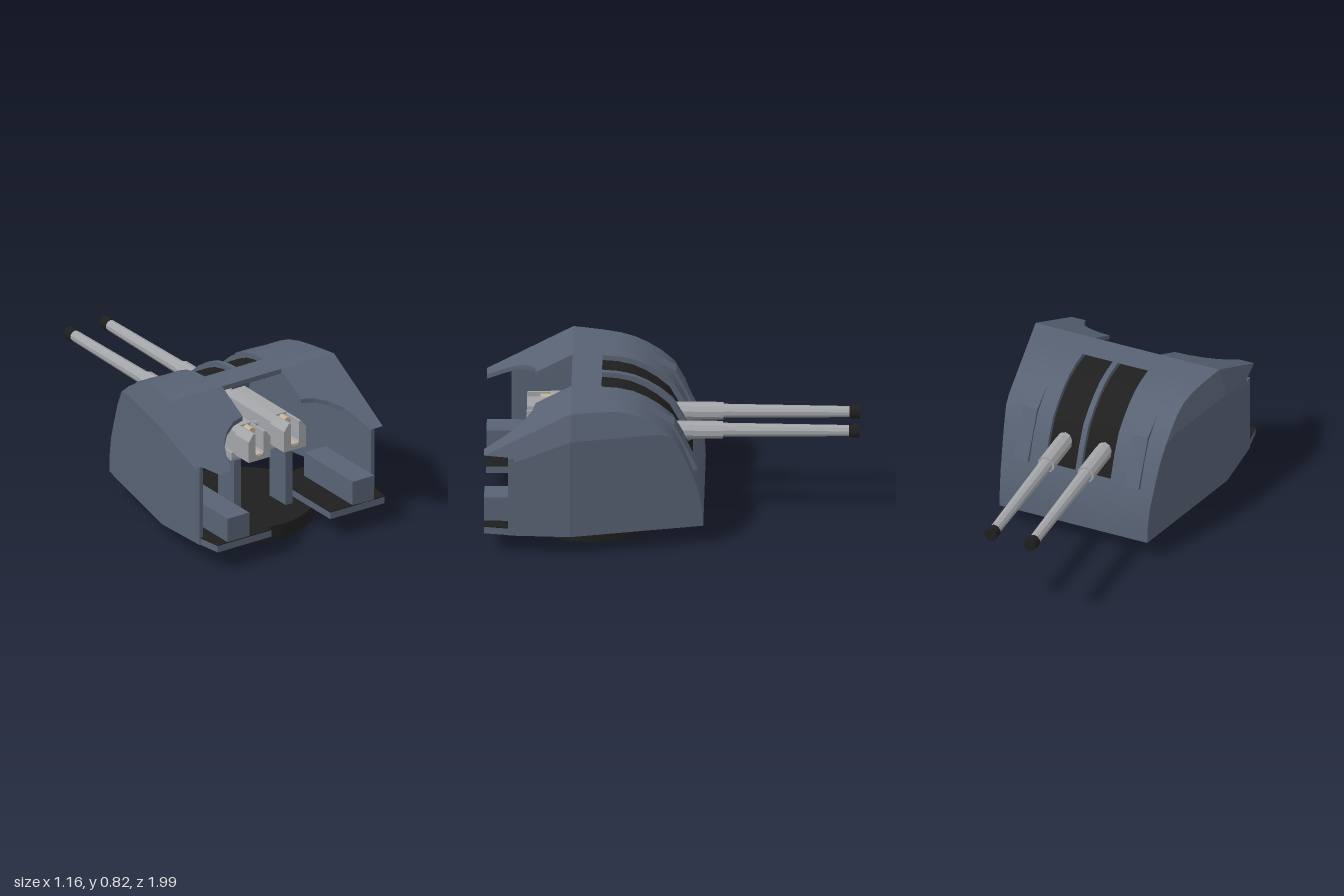
import * as THREE from 'three';

const mat = (name, color, side = THREE.FrontSide) => {
  const m = new THREE.MeshStandardMaterial({ color, side });
  m.name = name;
  return m;
};

// Shield profile as [z, y], from the bottom of the gun face to the roof ridge
const PROFILE = [[-0.175, 0.12], [-0.17, 0.22], [-0.15, 0.33], [-0.115, 0.43], [-0.065, 0.56], [-0.01, 0.66],
  [0.06, 0.72], [0.13, 0.765], [0.2, 0.797], [0.28, 0.815], [0.37, 0.822], [0.53, 0.825]];
const RIDGE = 0.53, WALL_END = 0.86, TIP = 0.99, BOTTOM = 0.12;
const lerp = THREE.MathUtils.lerp;

const roofY = z => lerp(0.825, 0.575, (z - RIDGE) / (TIP - RIDGE));
const bendY = z => (z < RIDGE ? 0.68 : lerp(0.68, 0.48, (z - RIDGE) / (TIP - RIDGE)));
// Half width of the shield: widest at the ridge, leaning in above the bend
const halfWidth = (z, y) => {
  const w = z < RIDGE ? lerp(0.43, 0.58, (z + 0.175) / 0.705) : lerp(0.58, 0.56, (z - RIDGE) / (TIP - RIDGE));
  return w - Math.max(0, y - bendY(z)) * 0.31;
};

// Surface through rows of [x, y, z] points; keep() may leave cells open
function loft(rows, flat, keep = () => true) {
  const n = rows[0].length, index = [];
  for (let i = 0; i < rows.length - 1; i++) {
    for (let j = 0; j < n - 1; j++) {
      if (!keep(i, j)) continue;
      const a = i * n + j, b = a + n;
      index.push(a, a + 1, b, a + 1, b + 1, b);
    }
  }
  let g = new THREE.BufferGeometry();
  g.setAttribute('position', new THREE.Float32BufferAttribute(rows.flat(2), 3));
  g.setIndex(index);
  if (flat) g = g.toNonIndexed();
  g.computeVertexNormals();
  return g;
}

const shapeOf = pts => new THREE.Shape(pts.map(p => new THREE.Vector2(p[0], p[1])));
const extrude = (pts, depth) => new THREE.ExtrudeGeometry(shapeOf(pts), { depth, bevelEnabled: false });
// [z, y] outline extruded across x, centred on x
const across = (pts, x, width) => extrude(pts, width).rotateY(-Math.PI / 2).translate(x + width / 2, 0, 0);
// [x, y] outline extruded from z0 to z1
const along = (pts, z0, z1) => extrude(pts, z1 - z0).translate(0, 0, z0);
const box = (x0, x1, y0, y1, z0, z1) => new THREE.BoxGeometry(x1 - x0, y1 - y0, z1 - z0)
  .translate((x0 + x1) / 2, (y0 + y1) / 2, (z0 + z1) / 2);
// Cylinder lying along z
const rod = (rFront, rBack, z0, z1, sides) => new THREE.CylinderGeometry(rBack, rFront, z1 - z0, sides)
  .rotateX(Math.PI / 2).translate(0, 0, (z0 + z1) / 2);

export function createModel() {
  const slate = mat('slate paint', 0x586273, THREE.DoubleSide);
  const black = mat('black', 0x1f1f1f, THREE.DoubleSide);
  const steel = mat('light steel', 0xa3a5a8);
  steel.flatShading = true;
  const tan = mat('tan brass', 0xc6b095);
  const model = new THREE.Group();
  const add = (name, geometry, material, parent = model) => {
    const mesh = new THREE.Mesh(geometry, material);
    mesh.name = name;
    parent.add(mesh);
    return mesh;
  };

  // Turntable
  add('turntable', new THREE.CylinderGeometry(0.392, 0.392, 0.08, 48).translate(0, 0.04, 0.43), black);

  // Curved gun face and roof, with two open gun slots
  const faceRows = PROFILE.map(([z, y]) => {
    const w = halfWidth(z, y);
    return [-w, -0.195, -0.015, 0.015, 0.195, w].map(x => [x, y, z]);
  });
  add('curvedFace', loft(faceRows, false, (i, j) => !(i >= 3 && i < 10 && (j === 1 || j === 3))), slate);

  // Dark curved blind behind the slots, and the ribs that frame them
  const inner = PROFILE.map(([z, y]) => [lerp(0.45, z, 0.95), lerp(0.12, y, 0.96)]);
  add('slotBlind', loft(inner.slice(2).map(([z, y]) => [[-0.19, y, z], [0.19, y, z]]), false), black);
  const band = [...PROFILE, ...[...inner].reverse()];
  const centreBand = [...PROFILE.slice(3), ...inner.slice(3).reverse()];
  add('centreRib', across(centreBand, 0, 0.03), slate);

  // Rear roof cutout edge in plan as [x, z]
  const cut = [[0.19, 0.53], [0.19, 0.72], [0.26, 0.735], [0.33, 0.775], [0.385, 0.83], [0.42, 0.9], [0.45, 0.99]];
  const outerZ = [0.53, 0.65, 0.72, 0.79, 0.86, 0.92, 0.99];

  // Parts on both sides
  for (const s of [1, -1]) {
    const side = new THREE.Group();
    side.name = s > 0 ? 'leftSide' : 'rightSide';
    model.add(side);

    // Side wall with its leaning upper facet and rear wing
    const station = (z, top, bottom) => {
      const mid = Math.min(Math.max(bendY(z), bottom), top);
      return [bottom, mid, top].map(y => [s * halfWidth(z, y), y, z]);
    };
    const wall = PROFILE.map(([z, y]) => station(z, y, BOTTOM));
    wall.push(station(WALL_END, roofY(WALL_END), BOTTOM));
    add('sideWall', loft(wall, true), slate, side);
    add('sideWing', loft([station(WALL_END, roofY(WALL_END), 0.575), station(TIP, 0.575, 0.575)], true), slate, side);
    const edge = box(0.545, 0.566, 0.12, 0.575, 0.83, WALL_END);
    add('wallEdge', edge.scale(s, 1, 1), slate, side);

    // Sloping rear roof and its lip
    const roof = cut.map(([x, z], i) => {
      const oz = outerZ[i], oy = roofY(oz);
      return [[s * x, roofY(z), z], [s * halfWidth(oz, oy), oy, oz]];
    });
    add('rearRoof', loft(roof, true), slate, side);
    const lip = [[0, RIDGE], ...cut].map(([x, z]) => [[s * x, roofY(z), z], [s * x, roofY(z) - 0.025, z]]);
    add('roofLip', loft(lip, true), slate, side);

    // Frame rib and raised cover plate on the gun face
    add('slotRib', across(band, s * 0.2, 0.02), slate, side);
    const cover = [[0.11, 0.755], [-0.02, 0.685], [-0.145, 0.425], [-0.09, 0.4], [0.04, 0.65], [0.11, 0.7]];
    add('coverPlate', across(cover, s * 0.3225, 0.085), slate, side);

    // Crew floor with dark tread and a locker
    const plan = [[0.19, 0.45], [0.555, 0.45], [0.572, 0.53], [0.56, 0.86], [0.54, 0.99], [0.19, 0.99]]
      .map(([x, z]) => [s * x, -z]);
    const slab = (y, h) => extrude(plan, h).rotateX(-Math.PI / 2).translate(0, y, 0);
    add('crewFloor', slab(0.12, 0.038), slate, side);
    add('floorTread', slab(0.158, 0.005), black, side);
    const locker = box(-0.07, 0.07, 0.16, 0.3, 0.54, 0.99).translate(s * 0.405, 0, 0);
    add('locker', locker, slate, side);

    // Cradle post
    add('cradlePost', box(-0.0225, 0.0225, 0.08, 0.43, 0.49, 0.64).translate(s * 0.1675, 0, 0), slate, side);

    // Gun: breech, loading channel, barrel and muzzle
    const gun = new THREE.Group();
    gun.name = s > 0 ? 'leftGun' : 'rightGun';
    gun.position.set(s * 0.115, 0.535, 0);
    model.add(gun);
    const block = [[-0.06, -0.07], [0.06, -0.07], [0.06, 0.055], [0.035, 0.095], [-0.035, 0.095], [-0.06, 0.055]];
    add('breechBlock', along(block, 0.25, 0.645), steel, gun);
    const channel = [[-0.07, -0.07], [0.07, -0.07], [0.07, 0.05], [0.04, 0.09], [0.027, 0.09], [0.027, -0.025],
      [0.015, -0.045], [-0.015, -0.045], [-0.027, -0.025], [-0.027, 0.09], [-0.04, 0.09], [-0.07, 0.05]];
    add('loadingChannel', along(channel, 0.64, 0.77), steel, gun);
    const tray = [[-0.027, 0.045], [-0.027, -0.025], [-0.015, -0.045], [0.015, -0.045], [0.027, -0.025], [0.027, 0.045]];
    add('loadingTray', along(tray, 0.64, 0.69), tan, gun);
    add('trayFloor', box(-0.02, 0.02, -0.046, -0.038, 0.69, 0.765), tan, gun);
    add('shellBase', rod(0.022, 0.022, 0.64, 0.7, 12).translate(0, 0.07, 0), tan, gun);
    add('barrelSleeve', rod(0.048, 0.048, -0.275, 0.26, 10), steel, gun);
    add('barrel', rod(0.03, 0.038, -0.96, -0.27, 10), steel, gun);
    add('muzzle', rod(0.036, 0.036, -1, -0.945, 10), black, gun);
  }

  // Cradle beam and elevation shaft
  add('cradleBeam', box(-0.19, 0.19, 0.42, 0.467, 0.49, 0.615), steel);
  const shaft = (r, x0, x1) => new THREE.CylinderGeometry(r, r, x1 - x0, 8).rotateZ(Math.PI / 2)
    .translate((x0 + x1) / 2, 0.535, 0.5);
  add('elevationShaft', shaft(0.016, -0.24, 0.24), steel);
  for (const x of [-0.225, 0.225]) add('shaftCollar', shaft(0.021, x - 0.012, x + 0.012), steel);

  return model;
}
